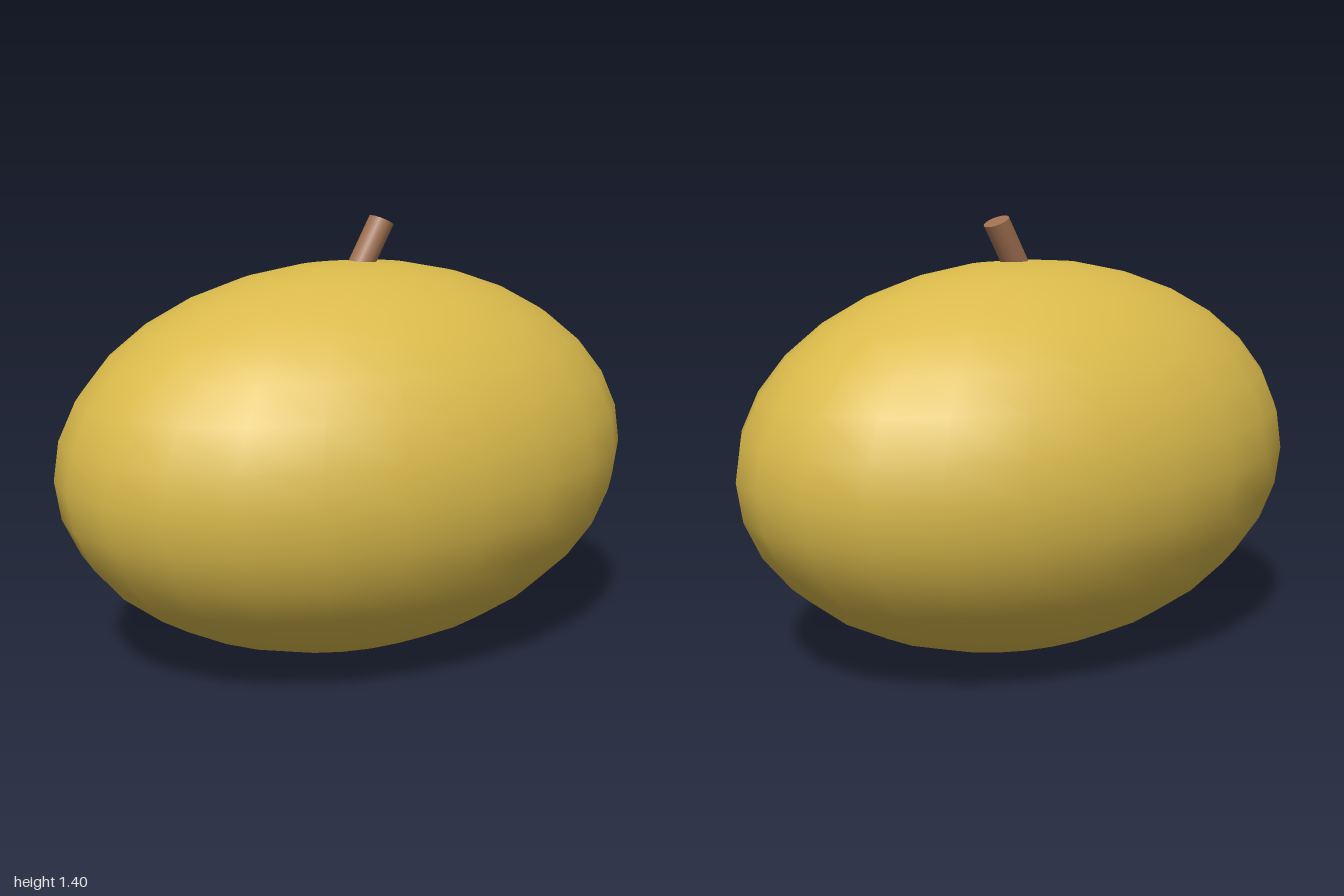
import * as THREE from 'three';

export function createModel() {
  const skin = new THREE.MeshStandardMaterial({ color: 0xdaba4b });
  skin.name = 'golden skin';
  const wood = new THREE.MeshStandardMaterial({ color: 0xa07050 });
  wood.name = 'brown stem';

  const model = new THREE.Group();
  model.name = 'fruit';

  // Oval fruit body
  const body = new THREE.Mesh(new THREE.SphereGeometry(1, 24, 16), skin);
  body.name = 'body';
  body.scale.set(1, 0.63, 0.7);
  body.position.y = 0.63;
  model.add(body);

  // Short leaning stem, hung from the centre of its cut end and slightly squashed
  const length = 0.24;
  const stemGeometry = new THREE.CylinderGeometry(0.043, 0.043, length, 16);
  stemGeometry.translate(0, -length / 2, 0);
  const stem = new THREE.Mesh(stemGeometry, wood);
  stem.name = 'stem';
  stem.rotation.z = -0.48;

  const stemGroup = new THREE.Group();
  stemGroup.name = 'stemGroup';
  stemGroup.position.set(0.115, 1.383, 0);
  stemGroup.scale.y = 0.9;
  stemGroup.add(stem);
  model.add(stemGroup);

  return model;
}
